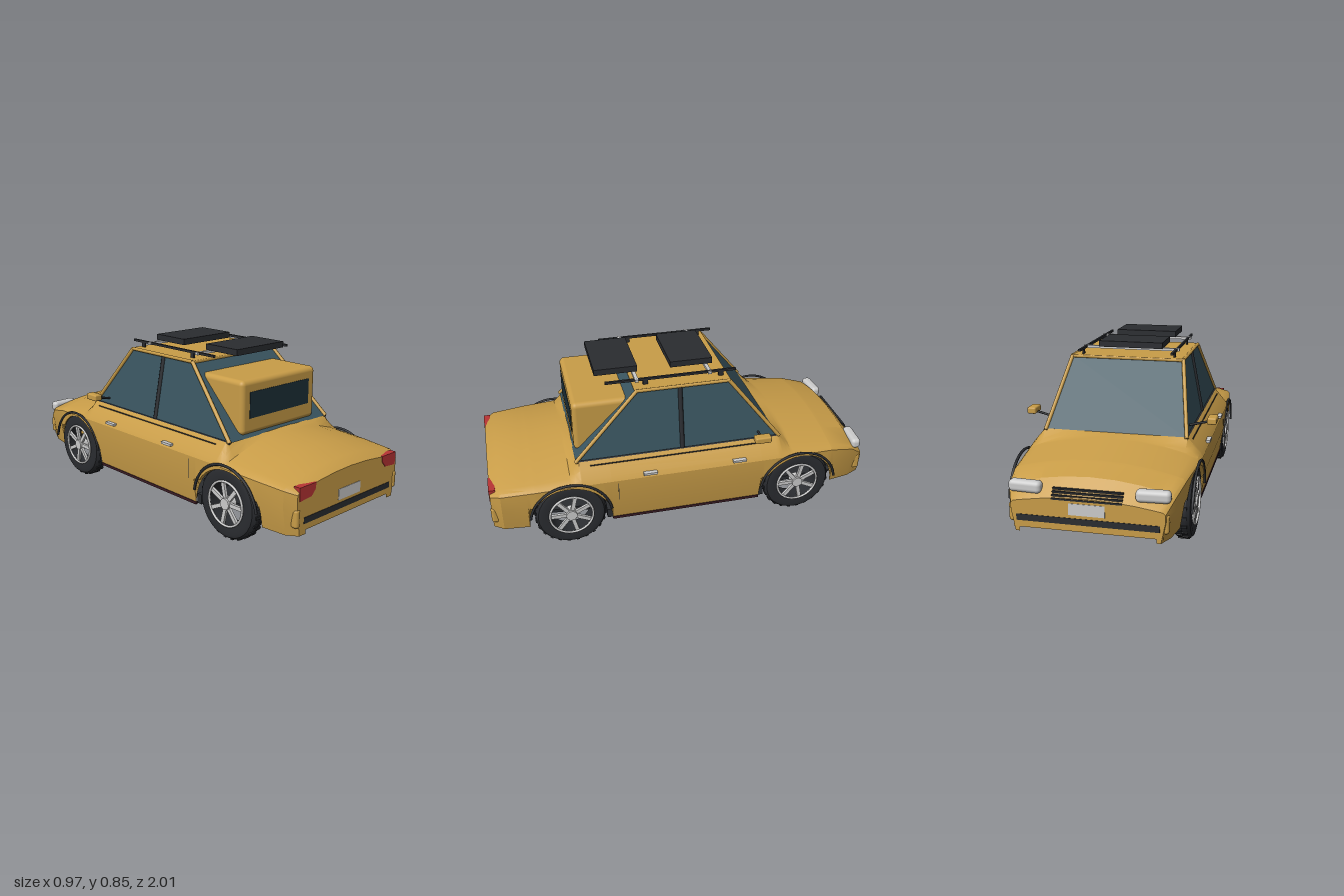
import * as THREE from 'three';
import { toCreasedNormals } from 'three/addons/utils/BufferGeometryUtils.js';
import { RoundedBoxGeometry } from 'three/addons/geometries/RoundedBoxGeometry.js';
import { ConvexGeometry } from 'three/addons/geometries/ConvexGeometry.js';

const mat = (color) => new THREE.MeshStandardMaterial({ color, side: THREE.DoubleSide });
const paint = mat(0xc99d48), glass = mat(0x3a5560), darkGlass = mat(0x1c2f38), black = mat(0x2a2c30);
const red = mat(0xb83434), metal = mat(0xcccccc), lamp = mat(0xf0f2f2), maroon = mat(0x3a1c24);
const V = (x, y, z) => new THREE.Vector3(x, y, z);

function add(parent, name, geo, material, x = 0, y = 0, z = 0) {
  const m = new THREE.Mesh(geo, material);
  m.name = name;
  m.position.set(x, y, z);
  parent.add(m);
  return m;
}
const box = (p, name, material, w, h, d, x, y, z) =>
  add(p, name, new THREE.BoxGeometry(w, h, d), material, x, y, z);

// Round bar between two points
function bar(p, name, material, a, b, r) {
  const m = add(p, name, new THREE.CylinderGeometry(r, r, a.distanceTo(b), 8), material);
  m.position.copy(a).add(b).multiplyScalar(0.5);
  m.quaternion.setFromUnitVectors(V(0, 1, 0), b.clone().sub(a).normalize());
}

// Body stations: z, half width, shoulder y, centre y, shelf (0 arched lid, 1 flat cabin base), bottom y
const AXLES = [0.61, -0.605], ARCH = 0.212;
const STATIONS = [
  [1.0, 0.372, 0.335, 0.375, 0, 0.13], [0.95, 0.408, 0.35, 0.41, 0, 0.13],
  [0.78, 0.424, 0.36, 0.437, 0, 0.13], [0.6, 0.432, 0.368, 0.458, 0, 0.125],
  [0.55, 0.434, 0.372, 0.46, 1, 0.125], [-0.5, 0.434, 0.372, 0.46, 1, 0.125],
  [-0.56, 0.43, 0.37, 0.453, 0.1, 0.125], [-0.8, 0.405, 0.355, 0.415, 0, 0.13],
  [-0.93, 0.382, 0.325, 0.382, 0, 0.13], [-1.0, 0.35, 0.27, 0.305, 0, 0.13],
];

function section(z) {
  let i = 0;
  while (i < STATIONS.length - 2 && STATIONS[i + 1][0] > z) i++;
  const a = STATIONS[i], b = STATIONS[i + 1], t = (a[0] - z) / (a[0] - b[0]);
  const [, w, ys, yc, shelf, sill] = a.map((v, k) => v + (b[k] - v) * t);
  let yb = sill;
  for (const c of AXLES) {
    const d = Math.abs(z - c) / ARCH;
    if (d < 1) yb = sill + 0.222 * Math.sqrt(1 - d * d);
  }
  const half = [[w - 0.02, yb], [w, Math.max(yb + 0.004, Math.min(0.26, ys - 0.04))], [w, ys - 0.008]];
  for (const u of [0.97, 0.9, 0.83, 0.6, 0.3]) {
    const crown = (1 - shelf) * (1 - u * u) + shelf * Math.min(1, (1 - u) / 0.17);
    half.push([w * u, ys + (yc - ys) * crown]);
  }
  return [...half, [0, yc], ...half.slice().reverse().map(([x, y]) => [-x, y])];
}

function bodyShell(g) {
  // Extra stations follow the wheel arches
  const zs = STATIONS.map((s) => s[0]);
  for (const c of AXLES) for (let k = 0; k <= 20; k++) zs.push(c + ARCH * Math.cos((k / 20) * Math.PI));
  zs.sort((a, b) => b - a);
  const pos = [], idx = [], n = 17;
  zs.forEach((z, i) => {
    section(z).forEach(([x, y]) => pos.push(x, y, z));
    if (!i) return;
    for (let j = 0; j < n - 1; j++) {
      const a = (i - 1) * n + j, c = a + n;
      idx.push(a, c, a + 1, a + 1, c, c + 1);
    }
  });
  const geo = new THREE.BufferGeometry();
  geo.setAttribute('position', new THREE.Float32BufferAttribute(pos, 3));
  geo.setIndex(idx);
  add(g, 'bodyShell', toCreasedNormals(geo, 0.5), paint);
  // End panels with the valance raised between the corners, and the lip beneath
  for (const z of [1, -1]) {
    const x = 0.31, pts = [...section(z), [-x, 0.13], [-x, 0.15], [x, 0.15], [x, 0.13]];
    const shape = new THREE.Shape(pts.map(([px, py]) => new THREE.Vector2(px, py)));
    const panel = add(g, z > 0 ? 'tailPanel' : 'nosePanel', new THREE.ShapeGeometry(shape), paint, 0, 0, z);
    if (z < 0) panel.rotation.y = Math.PI;
    box(g, 'valanceLip', paint, 0.68, 0.008, 0.15, 0, 0.154, z * 0.923);
  }
}

function cabin(g) {
  const frustum = (o) => [1, -1].flatMap((s) => [
    V(s * (0.36 - o), 0.455, 0.57 - o), V(s * (0.36 - o), 0.455, -0.51 + o),
    V(s * (0.295 - o), 0.785, 0.24 - o), V(s * (0.295 - o), 0.785, -0.245 + o)]);
  add(g, 'cabinGlass', new ConvexGeometry(frustum(0.006)), glass);
  const c = frustum(0.004);
  for (const k of [0, 4]) {
    const s = k ? -1 : 1;
    bar(g, 'rearPillar', paint, c[k], c[k + 2], 0.01);
    bar(g, 'windscreenPillar', paint, c[k + 1], c[k + 3], 0.01);
    bar(g, 'beltTrim', black, c[k], c[k + 1], 0.007);
    bar(g, 'roofRail', paint, c[k + 2], c[k + 3], 0.009);
    bar(g, 'centrePillar', black, V(s * 0.352, 0.46, 0.015), V(s * 0.289, 0.78, 0.015), 0.012);
  }
  add(g, 'roof', new RoundedBoxGeometry(0.59, 0.016, 0.495, 2, 0.006), paint, 0, 0.783, -0.003);
}

// Rear pod with a window flush in its back
function rearPod(g) {
  const pod = new THREE.Group();
  pod.name = 'rearPod';
  add(pod, 'podShell', new RoundedBoxGeometry(0.535, 0.27, 0.357, 4, 0.025), paint, 0, 0.6, 0.379);
  box(pod, 'podWindow', darkGlass, 0.43, 0.13, 0.006, 0, 0.612, 0.557);
  g.add(pod);
}

function wheel(g, side, z) {
  const w = new THREE.Group();
  w.name = 'wheel';
  w.position.set(side * 0.379, 0.185, z);
  w.rotation.z = -side * Math.PI / 2;
  const tyre = [[0.112, -0.04], [0.15, -0.045], [0.168, -0.04], [0.18, -0.022], [0.18, 0.022],
    [0.168, 0.04], [0.15, 0.045], [0.112, 0.04], [0.112, -0.04]].map(([r, y]) => new THREE.Vector2(r, y));
  add(w, 'tyre', toCreasedNormals(new THREE.LatheGeometry(tyre, 32), 0.5), black);
  add(w, 'rimBarrel', new THREE.CylinderGeometry(0.111, 0.108, 0.09, 32, 1, true), black, 0, 0.003, 0);
  const lip = add(w, 'rimLip', new THREE.TorusGeometry(0.11, 0.006, 8, 32), metal, 0, 0.046, 0);
  lip.rotation.x = Math.PI / 2;
  add(w, 'hub', new THREE.CylinderGeometry(0.028, 0.032, 0.05, 16), metal, 0, 0.028, 0);
  for (let i = 0; i < 7; i++) {
    const a = ((i + 0.25) / 7) * 2 * Math.PI;
    const s = box(w, 'spoke', metal, 0.09, 0.014, 0.02, Math.cos(a) * 0.066, 0.038, -Math.sin(a) * 0.066);
    s.rotation.y = a;
  }
  for (let i = 0; i < 48; i++) {
    const a = (i / 48) * 2 * Math.PI, y = i % 2 ? 0.013 : -0.013;
    const t = box(w, 'tread', black, 0.01, 0.026, 0.016, Math.cos(a) * 0.1785, y, -Math.sin(a) * 0.1785);
    t.rotation.y = a;
  }
  g.add(w);
  // Arch trim
  const flare = add(g, 'archTrim', new THREE.TorusGeometry(0.208, 0.007, 6, 32, Math.PI * 0.9), black,
    side * 0.434, 0.168, z);
  flare.rotation.set(0, Math.PI / 2, Math.PI * 0.05, 'YXZ');
}

function roofRack(g) {
  for (const s of [1, -1]) {
    box(g, 'rackRail', black, 0.012, 0.012, s > 0 ? 0.67 : 0.63, s * 0.24, 0.82, s > 0 ? 0.048 : 0.025);
    for (const z of [0.18, -0.21]) box(g, 'rackFoot', black, 0.008, 0.03, 0.025, s * 0.24, 0.8, z);
  }
  for (const z of [0.225, -0.15]) box(g, 'rackCrossbar', metal, 0.51, 0.014, 0.018, 0, 0.819, z);
  for (const z of [0.315, -0.075]) box(g, 'roofPanel', black, 0.335, 0.031, 0.22, -0.003, 0.841, z);
}

function sideDetails(g, s) {
  // Mirror and arm
  add(g, 'mirror', new RoundedBoxGeometry(0.046, 0.034, 0.085, 2, 0.008), paint, s * 0.462, 0.522, -0.375);
  bar(g, 'mirrorArm', black, V(s * 0.35, 0.492, -0.39), V(s * 0.45, 0.514, -0.38), 0.006);
  for (const z of [0.2, -0.27]) box(g, 'doorHandle', metal, 0.022, 0.012, 0.07, s * 0.432, 0.385, z);
  box(g, 'sill', maroon, 0.012, 0.014, 0.79, s * 0.412, 0.122, 0.003);
  box(g, 'sideMoulding', black, 0.005, 0.004, 0.95, s * 0.377, 0.44, 0.02);
  box(g, 'rearDoorSeam', black, 0.002, 0.1, 0.003, s * 0.434, 0.3, 0.365);
  for (const z of [0.41, -0.405]) box(g, 'mudGuard', black, 0.08, 0.05, 0.03, s * 0.365, 0.145, z);
  // Lamps
  const tail = new THREE.Shape([[0.25, 0.36], [0.255, 0.328], [0.28, 0.302], [0.36, 0.295], [0.363, 0.36]]
    .map(([x, y]) => new THREE.Vector2(s * x, y)));
  add(g, 'tailLamp', new THREE.ExtrudeGeometry(tail, { depth: 0.033, bevelEnabled: false }), red, 0, 0, 0.97);
  add(g, 'headlamp', new RoundedBoxGeometry(0.155, 0.056, 0.052, 4, 0.02), lamp, s * 0.29, 0.332, -0.964)
    .rotation.y = -s * 0.06;
  for (const z of [0.985, -0.975])
    add(g, 'cornerPod', new RoundedBoxGeometry(0.032, 0.09, 0.04, 3, 0.014), paint, s * (z > 0 ? 0.365 : 0.348), 0.215, z);
}

export function createModel() {
  const g = new THREE.Group();
  g.name = 'car';
  bodyShell(g);
  cabin(g);
  rearPod(g);
  roofRack(g);
  for (const s of [1, -1]) {
    sideDetails(g, s);
    for (const z of AXLES) wheel(g, s, z);
  }
  // Underbody, rising toward both ends, with raised edges behind the sills
  const pan = [[0.4, 0.115], [0.86, 0.145], [0.86, 0.152], [0.4, 0.152]]
    .flatMap(([z, y]) => [1, -1].flatMap((sx) => [V(sx * 0.32, y, z), V(sx * 0.32, y, -z)]));
  add(g, 'floorPan', new ConvexGeometry(pan), black);
  box(g, 'floorEdge', black, 0.82, 0.012, 0.78, 0, 0.158, 0.003);
  // Bumper strips and plates at both ends
  for (const e of [1, -1]) {
    box(g, 'bumperStrip', black, 0.65, 0.03, 0.02, 0, 0.196, e * 0.992);
    box(g, 'plate', metal, 0.165, 0.054, 0.006, 0, 0.253, e * 0.999);
  }
  // Grille slats on the nose slope
  for (let i = 0; i < 4; i++) box(g, 'grilleSlat', black, 0.32, 0.008, 0.012, 0, 0.296 + i * 0.013, -0.998 + i * 0.008);
  return g;
}
